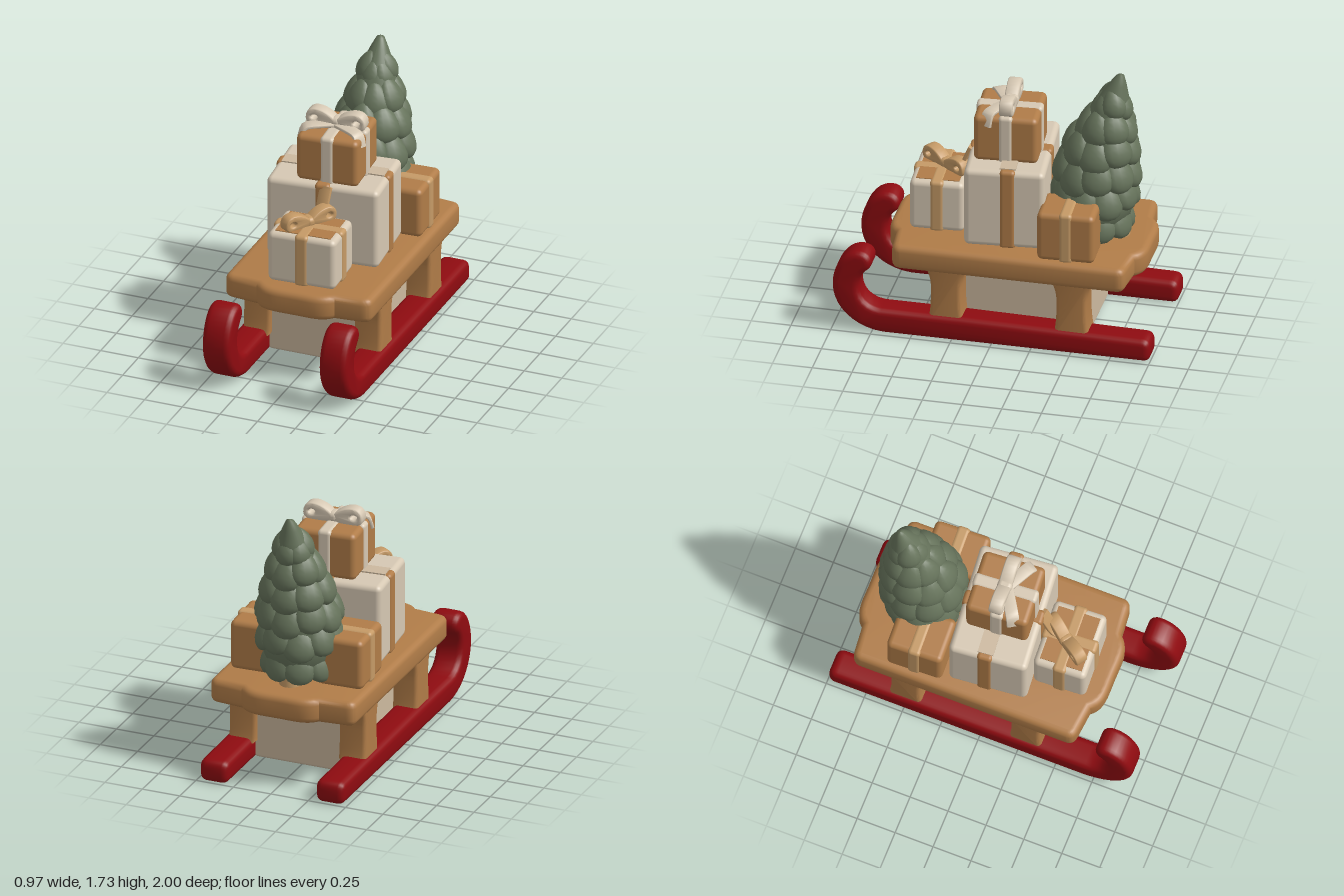
import * as THREE from 'three';
import { toCreasedNormals, mergeGeometries } from 'three/addons/utils/BufferGeometryUtils.js';
import { RoundedBoxGeometry } from 'three/addons/geometries/RoundedBoxGeometry.js';

const material = (name, color) => Object.assign(new THREE.MeshStandardMaterial({ color }), { name });
const wood = material('wood', 0xb07c48);
const tan = material('tan ribbon', 0xc59a66);
const cream = material('cream paper', 0xd6c8b3);
const beige = material('beige panel', 0xccb99f);
const green = material('pine green', 0x66735b);
const red = material('runner red', 0x8e0b10);

function add(parent, name, geo, mat, pos = [0, 0, 0], rotY = 0) {
  const mesh = new THREE.Mesh(geo, mat);
  mesh.name = name;
  mesh.position.set(...pos);
  mesh.rotation.y = rotY;
  parent.add(mesh);
  return mesh;
}

// Soft-edged extrusion, centred on its depth, keeping the drawn outline exact
function softExtrude(shape, depth, bevel, curveSegments = 10) {
  const geo = new THREE.ExtrudeGeometry(shape, {
    depth: depth - 2 * bevel, bevelSize: bevel, bevelThickness: bevel, bevelOffset: -bevel,
    bevelSegments: 4, curveSegments,
  });
  geo.translate(0, 0, bevel - depth / 2);
  return toCreasedNormals(geo, 0.7);
}

// Side profile drawn as (z, y), with the thickness running along x
const sideExtrude = (shape, width, bevel) => softExtrude(shape, width, bevel).rotateY(-Math.PI / 2);

function runnerShape() {
  const s = new THREE.Shape();
  s.moveTo(-0.95, 0);
  s.lineTo(0.68, 0);
  s.bezierCurveTo(0.86, 0.01, 1, 0.14, 1, 0.3);
  s.bezierCurveTo(1, 0.42, 0.93, 0.54, 0.83, 0.54);
  s.bezierCurveTo(0.75, 0.54, 0.73, 0.45, 0.79, 0.41);
  s.bezierCurveTo(0.87, 0.34, 0.85, 0.17, 0.69, 0.16);
  s.lineTo(0.2, 0.16);
  s.lineTo(-0.94, 0.145);
  s.bezierCurveTo(-0.99, 0.145, -1, 0.12, -1, 0.07);
  s.bezierCurveTo(-1, 0.02, -0.99, 0, -0.95, 0);
  return s;
}

// Leg profile flaring into the deck
function legShape() {
  const s = new THREE.Shape();
  s.moveTo(-0.11, 0.12);
  s.lineTo(0.11, 0.12);
  s.quadraticCurveTo(0.092, 0.2, 0.095, 0.36);
  s.quadraticCurveTo(0.1, 0.45, 0.15, 0.5);
  s.lineTo(-0.15, 0.5);
  s.quadraticCurveTo(-0.1, 0.45, -0.095, 0.36);
  s.quadraticCurveTo(-0.092, 0.2, -0.11, 0.12);
  return s;
}

// Deck outline (x, z) with bulging middle at both ends
function deckShape() {
  const s = new THREE.Shape();
  s.moveTo(0.485, -0.78);
  s.lineTo(0.485, 0.57);
  s.quadraticCurveTo(0.485, 0.625, 0.42, 0.63);
  s.lineTo(0.26, 0.645);
  s.bezierCurveTo(0.2, 0.72, 0.12, 0.705, 0, 0.705);
  s.bezierCurveTo(-0.12, 0.705, -0.2, 0.72, -0.26, 0.645);
  s.lineTo(-0.42, 0.63);
  s.quadraticCurveTo(-0.485, 0.625, -0.485, 0.57);
  s.lineTo(-0.485, -0.78);
  s.quadraticCurveTo(-0.485, -0.84, -0.42, -0.84);
  s.lineTo(-0.26, -0.855);
  s.bezierCurveTo(-0.2, -0.93, -0.12, -0.915, 0, -0.915);
  s.bezierCurveTo(0.12, -0.915, 0.2, -0.93, 0.26, -0.855);
  s.lineTo(0.42, -0.84);
  s.quadraticCurveTo(0.485, -0.84, 0.485, -0.78);
  return s;
}

// Wrapped box with ribbon bands; position is the middle of its base
function gift(parent, name, paper, ribbonX, ribbonZ, [w, h, d], pos, rotY, band, shift = 0) {
  const g = new THREE.Group();
  g.name = name;
  g.position.set(...pos);
  g.rotation.y = rotY;
  parent.add(g);
  const e = 0.014;
  add(g, 'giftBox', new RoundedBoxGeometry(w, h, d, 4, 0.035), paper, [0, h / 2, 0]);
  if (ribbonX) add(g, 'sideRibbon', new RoundedBoxGeometry(w + e, h + e, band, 3, 0.025), ribbonX, [0, h / 2, shift]);
  if (ribbonZ) add(g, 'frontRibbon', new RoundedBoxGeometry(band, h + e, d + e, 3, 0.025), ribbonZ, [0, h / 2, 0]);
  return g;
}

// Strip following a side profile (x, y)
function strap(points, width, thick) {
  const curve = new THREE.SplineCurve(points.map(p => new THREE.Vector2(...p)));
  const top = curve.getPoints(10);
  const under = top.map((p, i) => {
    const t = curve.getTangent(i / 10);
    return new THREE.Vector2(p.x + t.y * thick, p.y - t.x * thick);
  });
  return softExtrude(new THREE.Shape([...under, ...top.reverse()]), width, thick * 0.3);
}

function bow(parent, name, mat, pos, rotY, size, tails) {
  const g = new THREE.Group();
  g.name = name;
  g.position.set(...pos);
  g.rotation.y = rotY;
  g.scale.setScalar(size);
  parent.add(g);
  const s = new THREE.Shape();
  s.moveTo(0, -0.005);
  s.bezierCurveTo(0.07, -0.01, 0.2, -0.04, 0.205, 0.03);
  s.bezierCurveTo(0.21, 0.13, 0.09, 0.13, 0, 0.045);
  s.lineTo(0, -0.005);
  const hole = new THREE.Path();
  hole.absellipse(0.145, 0.045, 0.024, 0.016, 0, Math.PI * 2, true);
  s.holes.push(hole);
  const loop = softExtrude(s, 0.09, 0.014);
  for (const a of [0, Math.PI]) {
    add(g, 'bowLoop', loop, mat, [0, 0, 0], a);
    if (tails) {
      const tail = strap([[0, 0.02], [0.1, 0.025], [0.215, 0.015], [0.25, -0.07]], 0.085, 0.022);
      add(g, 'bowTail', tail, mat, [0, 0, 0.01], a ? Math.PI + 0.52 : -0.52);
    }
  }
  add(g, 'bowKnot', new RoundedBoxGeometry(0.07, 0.07, 0.1, 4, 0.03), mat, [0, 0.025, 0]);
}

// Tree axis leans back towards the tip
const axisZ = y => -0.55 - 0.16 * Math.pow(Math.max(0, (y - 0.95) / 0.78), 1.4);

function treeGeometry() {
  const parts = [];
  // Leaning core with a rounded tip
  const profile = [[0, 0.68], [0.2, 0.68], [0.24, 0.85], [0.22, 1.05], [0.18, 1.25], [0.13, 1.42],
    [0.125, 1.5], [0.09, 1.58], [0.055, 1.66], [0.025, 1.72], [0, 1.73]];
  const core = new THREE.LatheGeometry(profile.map(p => new THREE.Vector2(...p)), 28);
  const p = core.attributes.position;
  for (let i = 0; i < p.count; i++) p.setZ(i, p.getZ(i) + axisZ(p.getY(i)));
  core.computeVertexNormals();
  parts.push(core);
  // Tiers of drooping boughs: tip height, reach, count, length
  const tiers = [[0.63, 0.25, 8, 0.28], [0.81, 0.285, 9, 0.27], [0.97, 0.285, 9, 0.27],
    [1.13, 0.255, 8, 0.25], [1.28, 0.205, 7, 0.24], [1.43, 0.145, 6, 0.21]];
  tiers.forEach(([y, r, n, len], t) => {
    for (let k = 0; k < n; k++) {
      const bough = new THREE.SphereGeometry(1, 14, 10);
      const q = bough.attributes.position;
      const width = (Math.PI * r / n) * 1.15;
      for (let i = 0; i < q.count; i++) {
        const v = q.getY(i);
        q.setXYZ(i, q.getX(i) * width * (0.85 - 0.3 * v), v * len / 2, q.getZ(i) * 0.06 * (1 - 0.2 * v));
      }
      bough.computeVertexNormals();
      const lift = 0.02 * Math.sin(k * 2.4 + t);
      bough.rotateX(-0.38);
      bough.translate(0, y + len / 2 + (t ? lift : 0), r - 0.085);
      bough.rotateY(((k + (t % 2) / 2) / n) * Math.PI * 2 + Math.PI / 8);
      bough.translate(0, 0, axisZ(y + 0.1));
      parts.push(bough);
    }
  });
  return mergeGeometries(parts);
}

export function createModel() {
  const sled = new THREE.Group();
  sled.name = 'giftSled';

  // Sled
  const runner = sideExtrude(runnerShape(), 0.185, 0.04);
  const leg = sideExtrude(legShape(), 0.18, 0.025);
  for (const side of [1, -1]) {
    add(sled, 'runner', runner, red, [0.388 * side, 0, 0]);
    for (const z of [0.29, -0.5]) add(sled, 'leg', leg, wood, [0.367 * side, 0, z]);
  }
  add(sled, 'underBlock', new RoundedBoxGeometry(0.6, 0.47, 0.92, 3, 0.02), beige, [0, 0.25, -0.105]);
  add(sled, 'deck', softExtrude(deckShape(), 0.16, 0.04).rotateX(Math.PI / 2), wood, [0, 0.54, 0]);

  // Large gift in the middle
  const large = gift(sled, 'largeGift', cream, wood, wood, [0.72, 0.525, 0.5], [-0.02, 0.615, -0.02], 0.09, 0.1, -0.02);
  add(large, 'topRibbon', new THREE.BoxGeometry(0.66, 0.008, 0.1), beige, [0, 0.533, -0.02]);

  // Gift on top with its bow
  gift(sled, 'topGift', wood, cream, cream, [0.4, 0.31, 0.4], [0, 1.13, -0.015], 0.07, 0.09);
  bow(sled, 'topBow', cream, [0, 1.445, -0.02], 0.04, 0.95, true);

  // Small gift at the front, with a wooden-toned lid panel
  const small = gift(sled, 'frontGift', cream, tan, tan, [0.44, 0.335, 0.34], [0, 0.615, 0.41], 0.05, 0.09);
  add(small, 'lidPanel', new THREE.BoxGeometry(0.36, 0.006, 0.27), wood, [0, 0.336, 0]);
  bow(sled, 'frontBow', tan, [-0.02, 0.95, 0.39], 0.96, 0.9, false);
  add(sled, 'bowStrap', strap([[0, 0], [0.06, 0.03], [0.1, 0.12], [0.13, 0.19]], 0.08, 0.025), tan, [0.01, 0.95, 0.36], 1.45);

  // Side gifts flanking the tree
  for (const side of [1, -1]) {
    gift(sled, 'sideGift', wood, tan, null, [0.3, 0.325, 0.36], [0.29 * side, 0.615, -0.455], 0.04, 0.085);
  }

  // Tree
  add(sled, 'treeTrunk', new THREE.CylinderGeometry(0.06, 0.07, 0.18, 16), tan, [0, 0.69, -0.7]);
  add(sled, 'tree', treeGeometry(), green);
  return sled;
}
